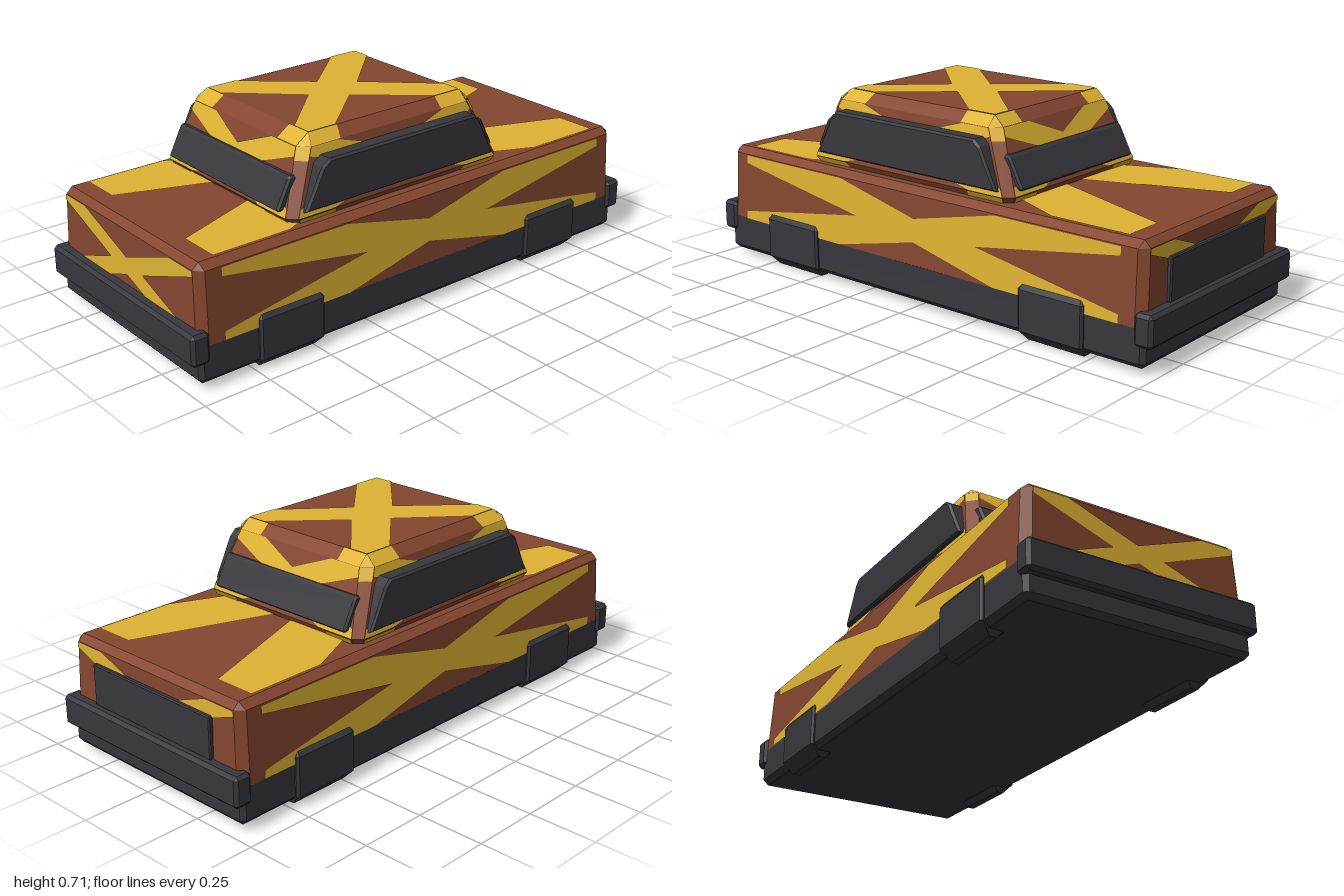
import * as THREE from 'three';

const mat = (name, color) => Object.assign(new THREE.MeshStandardMaterial({ color }), { name });

// Ring: [y, x0, x1, z0, z1, corner chamfer] -> eight points, anticlockwise from above
function ringPoints([y, x0, x1, z0, z1, c]) {
  return [
    [x1 - c, z1], [x1, z1 - c], [x1, z0 + c], [x1 - c, z0],
    [x0 + c, z0], [x0, z0 + c], [x0, z1 - c], [x0 + c, z1],
  ].map(([x, z]) => new THREE.Vector3(x, y, z));
}

// Closed faceted solid through a stack of chamfered rectangles
function loft(rings) {
  const pts = rings.map(ringPoints);
  const pos = [];
  const tri = (a, b, c) => {
    const area = b.clone().sub(a).cross(c.clone().sub(a)).length();
    if (area > 1e-9) for (const p of [a, b, c]) pos.push(p.x, p.y, p.z);
  };
  for (let i = 0; i < pts.length - 1; i++) {
    for (let j = 0; j < 8; j++) {
      const k = (j + 1) % 8;
      tri(pts[i][j], pts[i][k], pts[i + 1][k]);
      tri(pts[i][j], pts[i + 1][k], pts[i + 1][j]);
    }
  }
  const bottom = pts[0], top = pts[pts.length - 1];
  for (let j = 1; j < 7; j++) {
    tri(bottom[0], bottom[j + 1], bottom[j]);
    tri(top[0], top[j], top[j + 1]);
  }
  const g = new THREE.BufferGeometry();
  g.setAttribute('position', new THREE.Float32BufferAttribute(pos, 3));
  g.computeVertexNormals();
  return g;
}

// Box with all edges chamfered by b
const bevelBox = (x0, x1, y0, y1, z0, z1, b) => loft([
  [y0, x0 + b, x1 - b, z0 + b, z1 - b, 0],
  [y0 + b, x0, x1, z0, z1, b],
  [y1 - b, x0, x1, z0, z1, b],
  [y1, x0 + b, x1 - b, z0 + b, z1 - b, 0],
]);

// Corners of one lofted face, and of the top
function sideQuad(rings, i, j) {
  const a = ringPoints(rings[i]), b = ringPoints(rings[i + 1]), k = (j + 1) % 8;
  return [a[j], a[k], b[k], b[j]];
}
function topQuad(rings) {
  const p = ringPoints(rings[rings.length - 1]);
  return [p[7], p[0], p[3], p[4]];
}

// Flat painted patch: outline in -1..1 face coordinates laid on a quad
function patch(quad, outline) {
  const g = new THREE.ShapeGeometry(new THREE.Shape(outline.map(([u, v]) => new THREE.Vector2(u, v))));
  const [a, b, c, d] = quad;
  const n = c.clone().sub(a).cross(d.clone().sub(b)).normalize().multiplyScalar(0.003);
  const p = g.attributes.position;
  for (let i = 0; i < p.count; i++) {
    const u = (p.getX(i) + 1) / 2, v = (p.getY(i) + 1) / 2;
    const q = a.clone().lerp(b, u).lerp(d.clone().lerp(c, u), v).add(n);
    p.setXYZ(i, q.x, q.y, q.z);
  }
  g.computeVertexNormals();
  return g;
}

// Crossed stripes: a, b are the inner notches; c, d where the arms meet the limits o, t
const cross = (a, b, c, d, o, t) => [
  [a, 0], [o, d], [o, t], [c, t], [0, b], [-c, t], [-o, t], [-o, d],
  [-a, 0], [-o, -d], [-o, -t], [-c, -t], [0, -b], [c, -t], [o, -t], [o, -d],
];
const rect = (u0, u1, v0, v1) => [[u0, v0], [u1, v0], [u1, v1], [u0, v1]];

export function createModel() {
  const brown = mat('brown paint', 0x84462f);
  const yellow = mat('yellow stripe', 0xdfb332);
  const dark = mat('dark trim', 0x38373d);
  const car = new THREE.Group();
  car.name = 'car';
  const add = (name, geometry, material, parent = car) => {
    const m = new THREE.Mesh(geometry, material);
    m.name = name;
    parent.add(m);
    return m;
  };

  // Chassis, bumpers, grille
  add('chassis', loft([
    [0.022, -0.95, 0.95, -0.41, 0.41, 0],
    [0.042, -0.967, 0.967, -0.43, 0.43, 0.015],
    [0.158, -0.967, 0.967, -0.43, 0.43, 0.015],
  ]), dark);
  add('frontBumper', bevelBox(0.93, 1, 0.1, 0.212, -0.44, 0.44, 0.012), dark);
  add('rearBumper', bevelBox(-1, -0.93, 0.1, 0.212, -0.44, 0.44, 0.012), dark);
  add('grille', bevelBox(0.93, 0.972, 0.21, 0.362, -0.293, 0.293, 0.004), dark);

  // Wheels
  const wheel = loft([
    [0, -0.115, 0.115, -0.068, -0.04, 0],
    [0.04, -0.132, 0.132, -0.103, 0, 0.008],
    [0.185, -0.132, 0.132, -0.103, 0, 0.008],
    [0.203, -0.118, 0.118, -0.09, -0.014, 0],
  ]);
  for (const sx of [1, -1]) {
    for (const sz of [1, -1]) {
      const w = add(`${sx > 0 ? 'front' : 'rear'}${sz > 0 ? 'Left' : 'Right'}Wheel`, wheel, dark);
      w.position.set(sx * 0.608, 0, sz * 0.443);
      if (sz < 0) w.rotation.y = Math.PI;
    }
  }

  // Body with crossed stripes
  const body = [
    [0.155, -0.96, 0.96, -0.43, 0.43, 0.03],
    [0.411, -0.955, 0.955, -0.417, 0.417, 0.028],
    [0.434, -0.932, 0.932, -0.389, 0.389, 0],
  ];
  add('body', loft(body), brown);
  const bodyStripes = new THREE.Group();
  bodyStripes.name = 'bodyStripes';
  car.add(bodyStripes);
  for (const j of [3, 7]) add('sideStripes', patch(sideQuad(body, 0, j), cross(0.3, 0.33, 0.39, 0.74, 0.935, 0.97)), yellow, bodyStripes);
  for (const j of [1, 5]) add('endStripes', patch(sideQuad(body, 0, j), cross(0.25, 0.25, 0.67, 0.84, 1, 1)), yellow, bodyStripes);
  add('deckStripes', patch(topQuad(body), cross(0.28, 0.33, 0.61, 0.58, 0.935, 0.98)), yellow, bodyStripes);

  // Cabin with crossed stripes
  const cabin = [
    [0.434, -0.54, 0.375, -0.36, 0.36, 0.025],
    [0.455, -0.56, 0.387, -0.373, 0.373, 0.03],
    [0.67, -0.473, 0.292, -0.325, 0.325, 0.035],
    [0.706, -0.42, 0.254, -0.288, 0.288, 0],
  ];
  add('cabin', loft(cabin), brown);
  const cabinStripes = new THREE.Group();
  cabinStripes.name = 'cabinStripes';
  car.add(cabinStripes);
  const paint = (name, i, j, outline) => add(name, patch(sideQuad(cabin, i, j), outline), yellow, cabinStripes);
  add('roofStripes', patch(topQuad(cabin), cross(0.33, 0.32, 0.66, 0.74, 1, 1)), yellow, cabinStripes);
  for (const j of [1, 5]) paint('endStripes', 1, j, cross(0.27, 0.4, 0.56, 0.72, 1, 1));
  for (const j of [3, 7]) paint('sideStripes', 1, j, cross(0.3, 0.33, 0.68, 0.74, 1, 1));
  // Stripe ends carried over the upper and lower chamfers
  for (const j of [1, 3, 5, 7]) {
    for (const i of [0, 2]) {
      paint('edgeStripe', i, j, rect(-1, -0.65, -1, 1));
      paint('edgeStripe', i, j, rect(0.65, 1, -1, 1));
    }
  }
  for (const j of [0, 2, 4, 6]) {
    paint('cornerStripe', 2, j, rect(-1, 1, -1, 1));
    paint('cornerStripe', 1, j, rect(-1, 1, 0.6, 1));
  }

  // Windscreens follow the slope of the cabin ends
  add('frontWindscreen', loft([
    [0.472, 0.34, 0.39, -0.314, 0.314, 0],
    [0.48, 0.335, 0.399, -0.322, 0.322, 0.008],
    [0.578, 0.29, 0.347, -0.322, 0.322, 0.008],
    [0.587, 0.285, 0.335, -0.314, 0.314, 0],
  ]), dark);
  add('rearWindscreen', loft([
    [0.472, -0.568, -0.51, -0.314, 0.314, 0],
    [0.48, -0.577, -0.51, -0.322, 0.322, 0.008],
    [0.578, -0.528, -0.47, -0.322, 0.322, 0.008],
    [0.587, -0.518, -0.465, -0.314, 0.314, 0],
  ]), dark);

  // Upright side windows
  const outline = new THREE.Shape([[-0.5, 0.48], [0.33, 0.48], [0.262, 0.612], [0.24, 0.632], [-0.405, 0.632], [-0.432, 0.612]]
    .map(([x, y]) => new THREE.Vector2(x, y)));
  const glass = new THREE.ExtrudeGeometry(outline, { depth: 0.06, bevelThickness: 0.008, bevelSize: 0.008, bevelSegments: 1 });
  add('leftWindow', glass, dark).position.z = 0.32;
  add('rightWindow', glass, dark).position.z = -0.38;

  return car;
}
